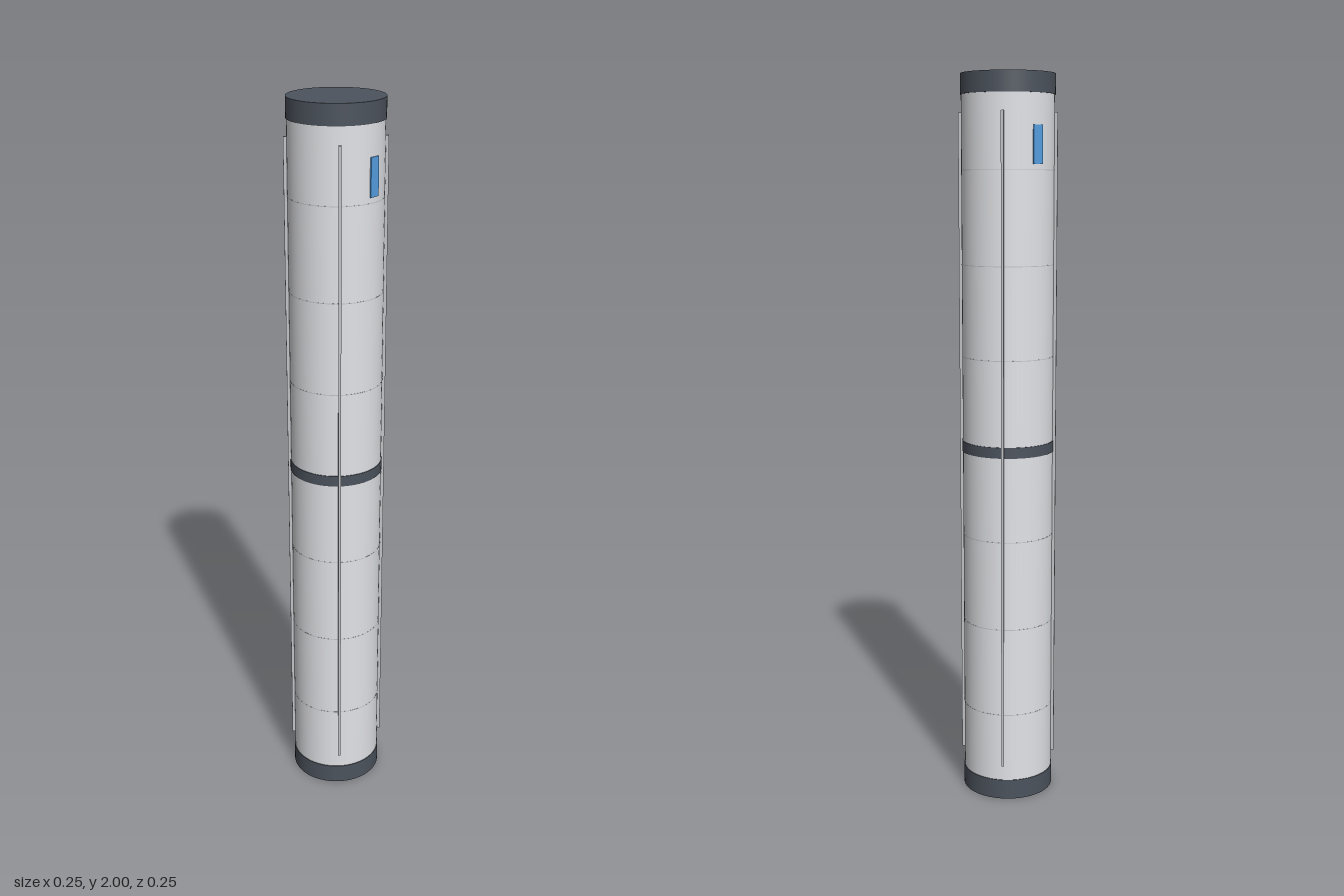
import * as THREE from 'three';

const mat = (name, color) => {
  const m = new THREE.MeshStandardMaterial({ color });
  m.name = name;
  return m;
};

export function createModel() {
  const group = new THREE.Group();
  const shell = mat('pale grey shell', 0xe4e5e9);
  const dark = mat('dark slate', 0x4c535d);
  const steel = mat('light steel', 0xc2c4c8);
  const blue = mat('blue panel', 0x559fe2);
  const SIDES = 64;

  const add = (name, geometry, material, x, y, z, turn = 0) => {
    const mesh = new THREE.Mesh(geometry, material);
    mesh.name = name;
    mesh.position.set(x, y, z);
    mesh.rotation.y = turn;
    group.add(mesh);
  };
  // upright drum between two heights
  const drum = (name, radius, y0, y1, material, open = false) =>
    add(name, new THREE.CylinderGeometry(radius, radius, y1 - y0, SIDES, 1, open), material, 0, (y0 + y1) / 2, 0);

  // column, end caps and middle band
  drum('columnBody', 0.125, 0.05, 1.95, shell, true);
  drum('bottomCap', 0.127, 0, 0.056, dark);
  drum('topCap', 0.127, 1.946, 2, dark);
  drum('middleBand', 0.127, 0.986, 1.016, dark);

  // hairline seams between the column sections
  for (let i = 1; i < 8; i++) {
    if (i !== 4) drum('seamRing', 0.1253, i * 0.25 - 0.001, i * 0.25 + 0.001, steel);
  }

  // four slim rails on the diagonals
  const railGeometry = new THREE.BoxGeometry(0.007, 1.8, 0.011);
  for (let i = 0; i < 4; i++) {
    const a = Math.PI / 4 + (i * Math.PI) / 2;
    add('rail', railGeometry, steel, Math.sin(a) * 0.128, 1, Math.cos(a) * 0.128, a);
  }

  // small display panel on each side
  const panelGeometry = new THREE.BoxGeometry(0.005, 0.1, 0.03);
  for (const side of [-1, 1]) {
    add('sidePanel', panelGeometry, blue, side * 0.125, 1.815, 0);
  }

  return group;
}
